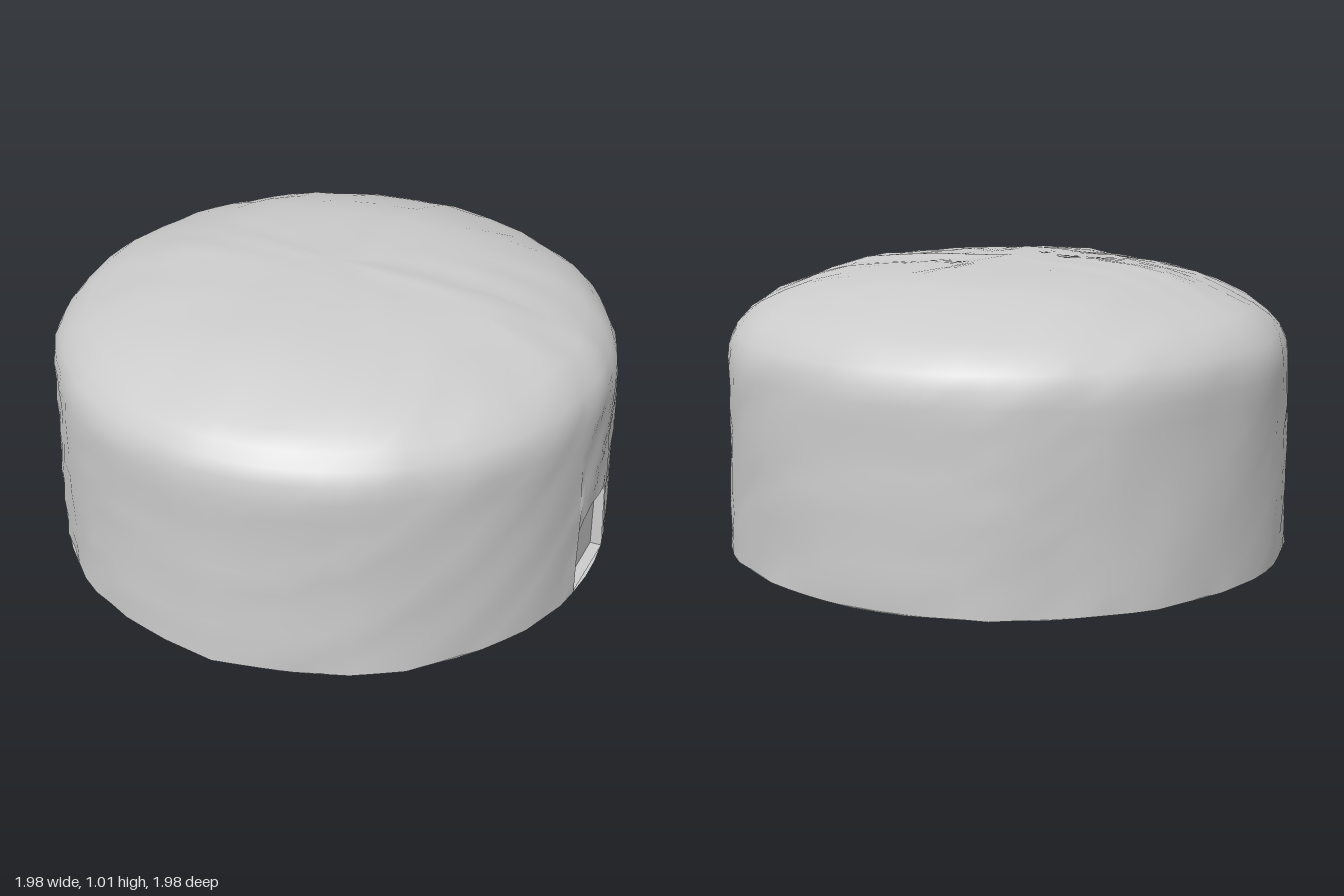
import * as THREE from 'three';
import { mergeVertices } from 'three/addons/utils/BufferGeometryUtils.js';

const DOOR = 0.829, HALF = 0.151, SILL = 0.012; // door direction, half angle, sill height

// Height of the door's arched head, u from -1 to 1 across the opening
const archY = u => 0.25 + 0.06 * Math.sqrt(Math.max(0, 1 - u ** 4));

// Smooth, hand-modelled unevenness
function bump(x, y, z) {
  return 0.005 * Math.sin(8 * x + 5 * y) * Math.cos(9 * z - 4 * y)
    + 0.004 * Math.sin(17 * z + 13 * y + 1) * Math.sin(15 * x - 11 * y)
    + 0.004 * Math.sin(29 * x + 23 * y + 2) * Math.sin(27 * z - 19 * y + 1);
}

// Point on the uneven shell
function shellPoint(theta, r, y) {
  const x = r * Math.sin(theta), z = r * Math.cos(theta);
  const n = bump(x, y, z);
  const up = THREE.MathUtils.smoothstep(y, 0.7, 0.95);
  const k = 1 + n * (1 - up);
  const rim = y < 0.011 ? Math.max(-0.008, -Math.abs(n)) : 0;
  return new THREE.Vector3(x * k, y + n * up + rim, z * k);
}

function surface(points, index) {
  let g = new THREE.BufferGeometry().setFromPoints(points);
  g.setIndex(index);
  g = mergeVertices(g, 1e-5);
  g.computeVertexNormals();
  return g;
}

// Grid of columns into triangles, optionally closed round
function gridIndex(cols, rows, closed) {
  const index = [];
  for (let i = 0; i < (closed ? cols : cols - 1); i++) {
    for (let j = 0; j < rows - 1; j++) {
      const a = i * rows + j, b = ((i + 1) % cols) * rows + j;
      index.push(a, b, b + 1, a, b + 1, a + 1);
    }
  }
  return index;
}

export function createModel() {
  const group = new THREE.Group();
  const material = new THREE.MeshStandardMaterial({ color: 0xcccccc, side: THREE.DoubleSide });
  const add = (geometry, name) => {
    const mesh = new THREE.Mesh(geometry, material);
    mesh.name = name;
    group.add(mesh);
    return mesh;
  };

  // Profile: upright wall, rounded shoulder, shallow dome
  const profile = [];
  for (let j = 0; j <= 8; j++) profile.push([0.987 - 0.003 * j / 8, 0.01 + 0.59 * j / 8]);
  profile.push([0.985, 0.67], [0.977, 0.73], [0.955, 0.775], [0.915, 0.82], [0.86, 0.86], [0.78, 0.895],
    [0.68, 0.932], [0.56, 0.963], [0.44, 0.984], [0.3, 0.996], [0.15, 1.002], [0, 1.004]);

  // Columns: the wall all round, then those above the door opening
  const columns = [], WALL = 64, HEAD = 10;
  for (let i = 0; i <= WALL; i++) {
    columns.push([DOOR + HALF + (2 * Math.PI - 2 * HALF) * i / WALL, 0.01]);
  }
  for (let i = 0; i <= HEAD; i++) {
    const u = -1 + 2 * i / HEAD;
    columns.push([DOOR + HALF * u + 2 * Math.PI, archY(u)]);
  }
  const points = [];
  for (const [theta, start] of columns) {
    for (const [r, y] of profile) {
      const lifted = y < 0.6 ? start + (y - 0.01) * (0.6 - start) / 0.59 : y;
      points.push(shellPoint(theta, r, lifted));
    }
  }
  add(surface(points, gridIndex(columns.length, profile.length, true)), 'domedShell');

  // Outline of the opening: [across, height], from sill up and over
  const outline = [[-1, SILL]];
  for (let i = 0; i <= HEAD; i++) outline.push([-1 + 2 * i / HEAD, archY(-1 + 2 * i / HEAD)]);
  outline.push([1, SILL], [-1, SILL]);

  // Reveal between the shell and the recessed panel
  const halfWidth = 0.148, depth = 0.935;
  const reveal = [];
  for (const [u, y] of outline) {
    const s = u * halfWidth;
    reveal.push(shellPoint(DOOR + HALF * u, 0.985, y));
    reveal.push(new THREE.Vector3(
      depth * Math.sin(DOOR) + s * Math.cos(DOOR), y, depth * Math.cos(DOOR) - s * Math.sin(DOOR)));
  }
  const revealGeometry = surface(reveal, gridIndex(outline.length, 2, false)).toNonIndexed();
  revealGeometry.computeVertexNormals();
  add(revealGeometry, 'doorReveal');

  // Flat door panel
  const shape = new THREE.Shape(outline.map(([u, y]) => new THREE.Vector2(u * halfWidth, y)));
  const panel = add(new THREE.ShapeGeometry(shape), 'doorPanel');
  panel.position.set(depth * Math.sin(DOOR), 0, depth * Math.cos(DOOR));
  panel.rotation.y = DOOR;

  // Flat underside
  const base = add(new THREE.CircleGeometry(0.985, 64), 'base');
  base.rotation.x = Math.PI / 2;
  base.position.y = 0.008;

  return group;
}
